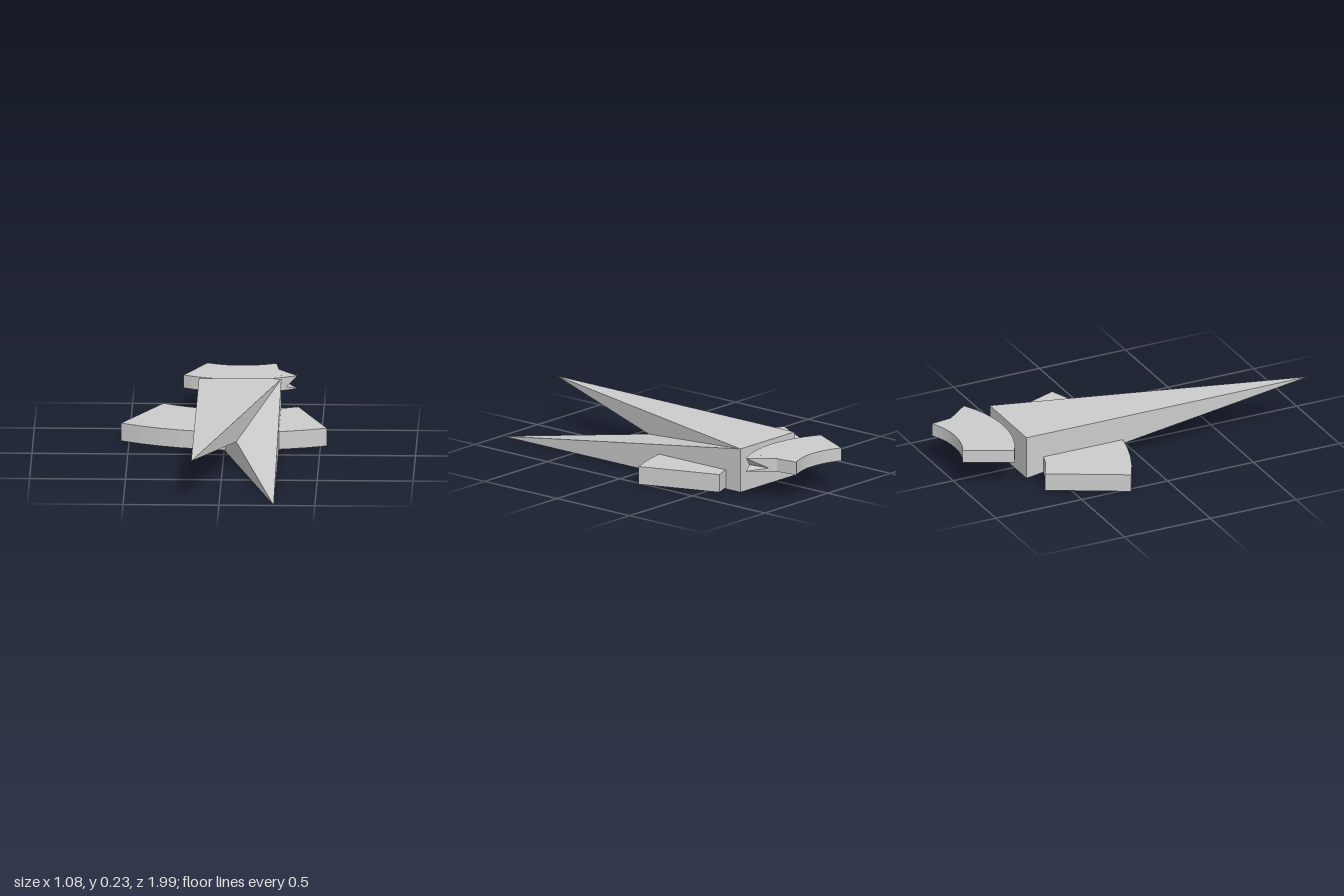
import * as THREE from 'three';
import { ConvexGeometry } from 'three/addons/geometries/ConvexGeometry.js';

const MID = 0.07; // x of the body's centre line
const mat = new THREE.MeshStandardMaterial({ color: 0xcccccc, flatShading: true, side: THREE.DoubleSide });

function add(group, name, geometry) {
  const mesh = new THREE.Mesh(geometry, mat);
  mesh.name = name;
  group.add(mesh);
}

// points on a circle around (MID, zc), angles in degrees away from +z
function arc(zc, r, from, to, n = 10) {
  return Array.from({ length: n + 1 }, (_, i) => {
    const a = THREE.MathUtils.degToRad(from + (to - from) * i / n);
    return new THREE.Vector2(MID + r * Math.sin(a), zc + r * Math.cos(a));
  });
}

// flat slab from an outline in x and z
function slab(outline, y0, y1) {
  const geometry = new THREE.ExtrudeGeometry(new THREE.Shape(outline), { depth: y1 - y0, bevelEnabled: false });
  return geometry.rotateX(Math.PI / 2).translate(0, y1, 0);
}

const hull = (points) => new ConvexGeometry(points.map((p) => new THREE.Vector3(...p)));

export function createModel() {
  const group = new THREE.Group();

  // body: two long pyramids sharing the rear rectangle, with opposite tips
  const [x0, x1, y0, y1, back, tip] = [-0.145, 0.285, 0.003, 0.238, -0.645, 0.995];
  const rear = [[x0, y1, back], [x1, y1, back], [x1, y0, back], [x0, y0, back]];
  add(group, 'upperBodySpike', hull([...rear, [x0, y1, tip]]));
  add(group, 'lowerBodySpike', hull([...rear, [x1, y0, tip]]));

  // wings: one curved slab passing through the body
  add(group, 'wings', slab([
    ...arc(-1.257, 0.744, -32.5, 24.2),
    ...arc(-1.257, 1.193, 22.9, -30.8),
  ], 0.01, 0.106));

  // head: curved slab behind the body, cut short on its left
  add(group, 'head', slab([
    ...arc(-1.338, 0.383, -28, 28),
    new THREE.Vector2(0.267, -0.88),
    ...arc(-1.266, 0.591, 21.5, -30.2),
  ], 0.155, 0.225));

  // two small points where the head is notched
  const notch = (top, tipY) => hull([
    [0.267, 0.155, -0.88], [0.267, top, -0.88],
    [0.287, 0.155, -0.716], [0.287, top, -0.716],
    [0.367, tipY, -0.755],
  ]);
  add(group, 'upperHeadPoint', notch(0.225, 0.225));
  add(group, 'lowerHeadPoint', notch(0.18, 0.155));

  return group;
}
